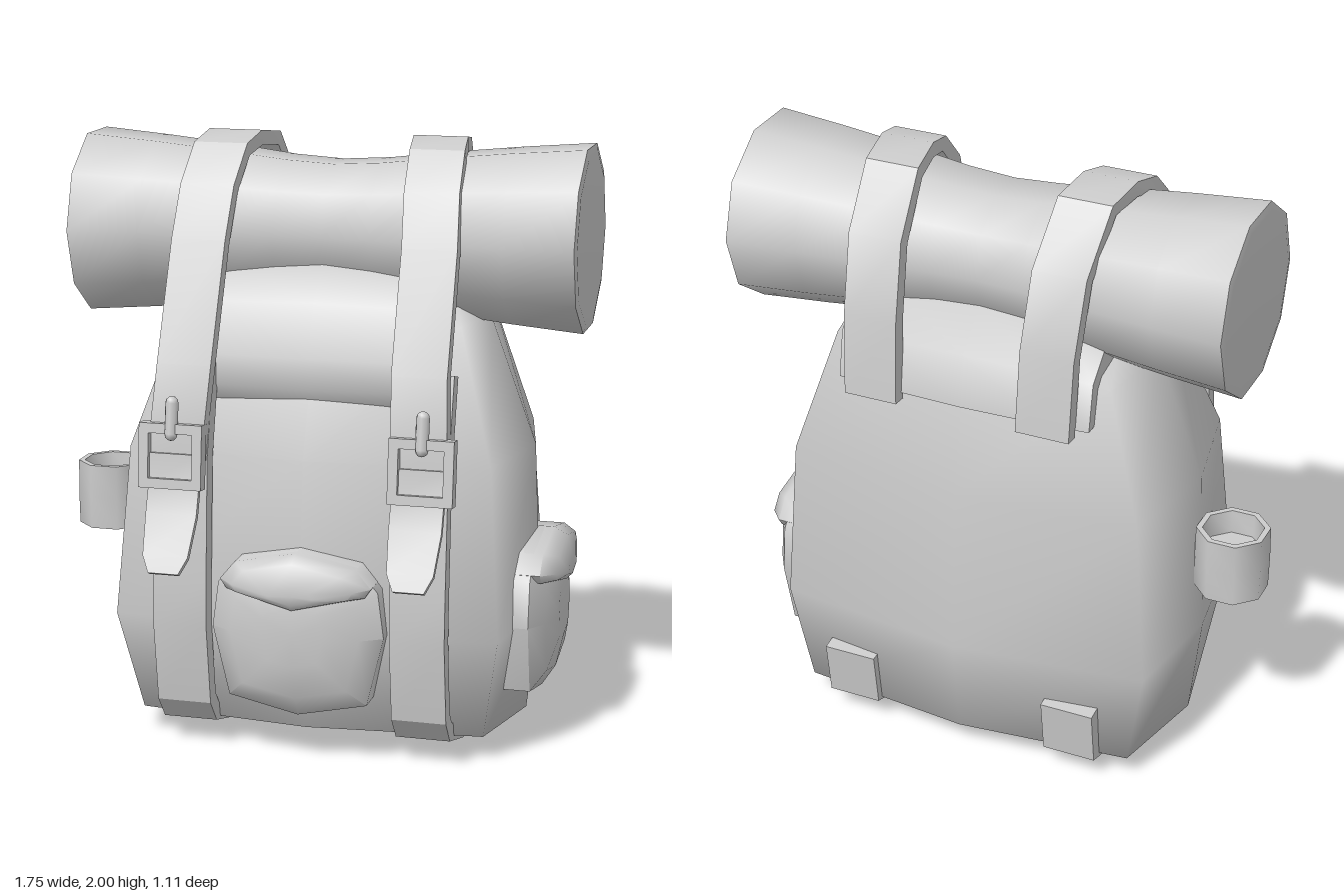
import * as THREE from 'three';
import { toCreasedNormals } from 'three/addons/utils/BufferGeometryUtils.js';

const CX = 0.02; // the pack's own centre line
const material = new THREE.MeshStandardMaterial({ color: 0xcccccc });

function add(parent, name, geometry) {
  const mesh = new THREE.Mesh(geometry, material);
  mesh.name = name;
  parent.add(mesh);
  return mesh;
}

// Skin closed rings of [x, y, z]; rings run counterclockwise about the travel direction.
function loft(rings, crease) {
  const n = rings[0].length;
  const positions = rings.flat(2);
  const index = [];
  for (let i = 0; i < rings.length - 1; i++) {
    for (let j = 0; j < n; j++) {
      const a = i * n + j, b = i * n + (j + 1) % n;
      index.push(a, b, b + n, a, b + n, a + n);
    }
  }
  // end caps, fanned from the middle of each end ring
  for (const end of [0, rings.length - 1]) {
    const ring = rings[end];
    const centre = positions.length / 3;
    for (let k = 0; k < 3; k++) positions.push(ring.reduce((s, p) => s + p[k], 0) / n);
    for (let j = 0; j < n; j++) {
      const a = end * n + j, b = end * n + (j + 1) % n;
      if (end === 0) index.push(centre, b, a);
      else index.push(centre, a, b);
    }
  }
  const g = new THREE.BufferGeometry();
  g.setAttribute('position', new THREE.Float32BufferAttribute(positions, 3));
  g.setIndex(index);
  g.computeVertexNormals();
  return crease ? toCreasedNormals(g, crease) : g;
}

// Flat band along an outer path of [u, y, z, halfWidth], thickened inward.
function strap(path, side, thickness) {
  const rings = path.map(([u, y, z, w = 0.09], i) => {
    const p = path[Math.max(i - 1, 0)], q = path[Math.min(i + 1, path.length - 1)];
    const t = new THREE.Vector2(q[2] - p[2], q[1] - p[1]).normalize();
    const x = CX + side * u;
    const yi = y - t.x * thickness, zi = z + t.y * thickness;
    return [[x - w, yi, zi], [x + w, yi, zi], [x + w, y, z], [x - w, y, z]];
  });
  return loft(rings, 0.5);
}

// Bulging pocket with a lid flap, facing +z.
function pocket(name) {
  const group = new THREE.Group();
  group.name = name;
  const half = [[0, 0.17], [0.23, 0.22], [0.285, 0.45], [0.265, 0.6], [0.2, 0.68], [0, 0.72]];
  const mirror = pts => [...pts, ...pts.slice(1, -1).reverse().map(([x, y]) => [-x, y])];
  const ring = (pts, s, d, cy) => mirror(pts).map(([x, y]) => [x * s, cy + (y - cy) * s, d]);
  add(group, 'pocketBag', loft([
    ring(half, 1, -0.12, 0.45), ring(half, 1, 0.03, 0.45),
    ring(half, 0.75, 0.075, 0.45), ring(half, 0.35, 0.1, 0.45),
  ], 1.0));
  const flap = [[0, 0.53], [0.23, 0.59], [0.25, 0.62], [0.2, 0.68], [0, 0.72]];
  add(group, 'pocketFlap', loft([
    ring(flap, 1, -0.05, 0.62), ring(flap, 1, 0.06, 0.62),
    ring(flap, 0.8, 0.105, 0.6), ring(flap, 0.3, 0.125, 0.58),
  ], 1.0));
  return group;
}

export function createModel() {
  const model = new THREE.Group();
  model.name = 'backpack';

  // Sack: [y, side, corner, front, frontCorner, backCorner, back]
  const levels = [
    [0.025, 0.3, 0.26, 0.1, 0.06, -0.24, -0.28],
    [0.09, 0.66, 0.58, 0.29, 0.23, -0.45, -0.51],
    [0.44, 0.7, 0.64, 0.37, 0.32, -0.48, -0.555],
    [1.0, 0.675, 0.6, 0.33, 0.27, -0.46, -0.52],
    [1.42, 0.52, 0.47, 0.17, 0.13, -0.38, -0.43],
    [1.52, 0.4, 0.34, 0.06, 0.04, -0.3, -0.34],
  ];
  add(model, 'sack', loft(levels.map(([y, w, c, f, fc, bc, b]) => [
    [CX, y, f], [CX + c, y, fc], [CX + w, y, -0.1], [CX + c, y, bc],
    [CX, y, b], [CX - c, y, bc], [CX - w, y, -0.1], [CX - c, y, fc],
  ])));

  // Lid folded over the top of the sack, fullest in the middle: profile of [z, y]
  const lidProfile = [
    [-0.47, 1.3], [-0.44, 1.47], [-0.32, 1.58], [0.08, 1.6], [0.2, 1.49],
    [0.275, 1.32], [0.28, 1.22], [0.24, 1.16], [0, 1.2], [-0.38, 1.3],
  ];
  const lidRings = [[-0.43, 0.9], [-0.3, 0.96], [0, 1], [0.3, 0.96], [0.43, 0.9]];
  add(model, 'lid', loft(lidRings.map(([x, s]) =>
    lidProfile.map(([z, y]) => [CX + x, 1.32 + (y - 1.32) * s, -0.1 + (z + 0.1) * (0.5 + s / 2)])), 0.9));

  // Bedroll, pinched between the straps
  const rollProfile = [
    [0, -0.82], [0.28, -0.84], [0.31, -0.835], [0.29, -0.6], [0.265, -0.36], [0.24, -0.16], [0.23, 0],
    [0.24, 0.16], [0.265, 0.36], [0.29, 0.6], [0.31, 0.835], [0.28, 0.84], [0, 0.82],
  ].map(p => new THREE.Vector2(...p));
  const roll = new THREE.LatheGeometry(rollProfile, 10).rotateZ(-Math.PI / 2);
  add(model, 'bedroll', toCreasedNormals(roll, 0.8)).position.set(CX, 1.685, -0.115);

  // Straps and buckles, one set on each side
  const upperPath = [
    [0.295, 1.28, -0.505], [0.3, 1.55, -0.48], [0.31, 1.8, -0.41], [0.325, 1.98, -0.25],
    [0.345, 2.0, -0.1], [0.36, 1.97, 0.02], [0.37, 1.85, 0.14], [0.38, 1.68, 0.21],
    [0.385, 1.3, 0.36], [0.395, 1.12, 0.4], [0.4, 0.98, 0.41],
  ];
  const tonguePath = [
    [0.4, 1.02, 0.42, 0.085], [0.4, 0.93, 0.43, 0.085], [0.4, 0.83, 0.465, 0.085],
    [0.4, 0.71, 0.53, 0.075], [0.4, 0.66, 0.555, 0.05],
  ];
  const lowerPath = [
    [0.395, 1.3, 0.3], [0.395, 1.0, 0.375], [0.395, 0.6, 0.4], [0.395, 0.44, 0.405],
    [0.395, 0.17, 0.365], [0.395, 0.09, 0.3], [0.395, 0.03, 0.09], [0.395, 0.005, -0.24],
    [0.395, 0.09, -0.505], [0.395, 0.28, -0.53],
  ];
  const square = (Type, s) => new Type([[-s, -s], [s, -s], [s, s], [-s, s]].map(p => new THREE.Vector2(...p)));
  const frame = square(THREE.Shape, 0.105);
  frame.holes.push(square(THREE.Path, 0.073));
  const frameGeometry = new THREE.ExtrudeGeometry(frame, { depth: 0.05, bevelEnabled: false });

  for (const side of [-1, 1]) {
    const set = new THREE.Group();
    set.name = side > 0 ? 'leftStrap' : 'rightStrap';
    add(set, 'upperStrap', strap(upperPath, side, 0.05));
    add(set, 'strapTongue', strap(tonguePath, side, 0.02));
    add(set, 'lowerStrap', strap(lowerPath, side, 0.06));
    const buckle = add(set, 'buckleFrame', frameGeometry);
    buckle.position.set(CX + side * 0.41, 1.01, 0.39);
    buckle.rotation.x = -0.1;
    const prong = add(set, 'bucklePin', new THREE.CapsuleGeometry(0.022, 0.1, 3, 8));
    prong.position.set(CX + side * 0.41, 1.135, 0.415);
    prong.rotation.x = -0.15;
    model.add(set);
  }

  // Front pocket and the pocket on the left flank
  const frontPocket = pocket('frontPocket');
  frontPocket.position.set(CX, 0, 0.365);
  const sidePocket = pocket('sidePocket');
  sidePocket.position.set(0.7, 0, -0.11);
  sidePocket.rotation.y = Math.PI / 2;
  model.add(frontPocket, sidePocket);

  // Cup hanging on the right flank
  const cupProfile = [[0, -0.11], [0.12, -0.11], [0.122, 0], [0.12, 0.11], [0.1, 0.11], [0.095, 0.03], [0, 0.03]];
  const cup = new THREE.LatheGeometry(cupProfile.map(p => new THREE.Vector2(...p)), 8, Math.PI / 8);
  add(model, 'cup', toCreasedNormals(cup, 0.9)).position.set(-0.775, 0.74, -0.11);

  return model;
}
